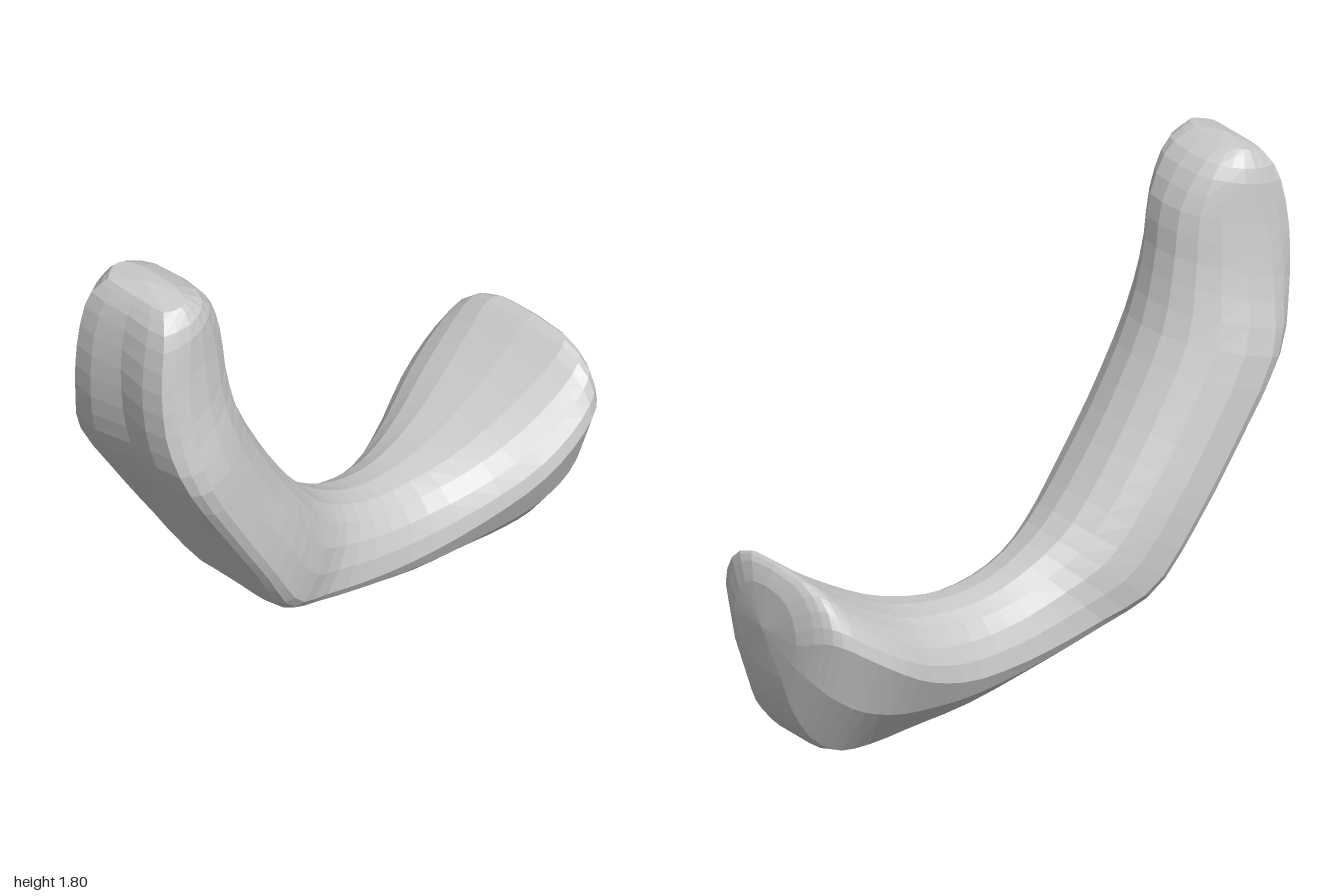
import * as THREE from 'three';

// Stations along the bend: outer x,y | inner x,y | half width | outer flat half width |
// height of widest line | roundness of inner side
const STATIONS = [
  [-0.915, 1.775, -0.80, 1.797, 0.160, 0.13, 0.50, 0.6],
  [-0.965, 1.69, -0.70, 1.74, 0.208, 0.18, 0.40, 0.65],
  [-0.998, 1.50, -0.615, 1.60, 0.225, 0.20, 0.30, 0.8],
  [-0.985, 1.28, -0.585, 1.40, 0.255, 0.22, 0.24, 0.9],
  [-0.92, 1.07, -0.53, 1.18, 0.300, 0.26, 0.18, 0.95],
  [-0.75, 0.79, -0.41, 0.94, 0.300, 0.26, 0.16, 0.95],
  [-0.59, 0.54, -0.28, 0.735, 0.290, 0.25, 0.15, 0.9],
  [-0.45, 0.32, -0.15, 0.57, 0.260, 0.20, 0.16, 0.85],
  [-0.28, 0.215, -0.02, 0.47, 0.212, 0.16, 0.20, 0.85],
  [-0.02, 0.125, 0.12, 0.41, 0.203, 0.14, 0.26, 0.85],
  [0.25, 0.05, 0.28, 0.395, 0.218, 0.13, 0.38, 0.85],
  [0.48, 0.02, 0.47, 0.425, 0.280, 0.13, 0.55, 0.8],
  [0.66, 0.003, 0.65, 0.505, 0.345, 0.14, 0.67, 0.75],
  [0.80, 0.018, 0.80, 0.595, 0.360, 0.15, 0.72, 0.65],
  [0.90, 0.09, 0.90, 0.67, 0.335, 0.14, 0.70, 0.55],
  [0.96, 0.20, 0.945, 0.68, 0.270, 0.12, 0.63, 0.6],
  [0.985, 0.32, 0.98, 0.62, 0.180, 0.09, 0.50, 0.75],
];
const RINGS = 40;

// Half a cross-section as [position from outer to inner, z]
function halfSection(w, flat, t, e, hollow) {
  const pts = [
    [hollow, 0], [0, flat * 0.6], [0.03, flat],
    [t * 0.5, flat + (w - flat) * 0.64], [t, w],
  ];
  for (let k = 1; k <= 5; k++) {
    const a = (k / 5) * Math.PI / 2;
    const c = k === 5 ? 0 : Math.cos(a) ** e;
    pts.push([t + (1 - t) * Math.sin(a), w * c]);
  }
  return pts;
}

// Skin over the interpolated sections, closed by a point at each end
function curvedBody(startTip, endTip) {
  const splines = STATIONS[0].map((_, c) =>
    new THREE.SplineCurve(STATIONS.map((s, i) => new THREE.Vector2(i, s[c]))));
  const pos = [], index = [];
  let sides = 0;
  for (let i = 0; i <= RINGS; i++) {
    const s = i / RINGS;
    const [ox, oy, ix, iy, w, flat, t, e] = splines.map(c => c.getPoint(s).y);
    // The back of the arm is slightly hollow, and the arm sits a little forward
    const hollow = 0.06 * Math.sin(Math.PI * Math.min(s / 0.45, 1));
    const shift = 0.012 * (1 - s);
    const half = halfSection(w, flat, t, e, hollow);
    const mirrored = half.slice(1, -1).reverse().map(([u, z]) => [u, -z]);
    const ring = [...half, ...mirrored];
    sides = ring.length;
    for (const [u, z] of ring) pos.push(ox + (ix - ox) * u, oy + (iy - oy) * u, z + shift);
  }
  const start = pos.length / 3, end = start + 1, last = RINGS * sides;
  pos.push(...startTip, ...endTip);
  for (let j = 0; j < sides; j++) {
    const k = (j + 1) % sides;
    for (let i = 0; i < RINGS; i++) {
      const a = i * sides + j, b = i * sides + k;
      index.push(a, a + sides, b, b, a + sides, b + sides);
    }
    index.push(start, j, k, end, last + k, last + j);
  }
  const geometry = new THREE.BufferGeometry();
  geometry.setAttribute('position', new THREE.Float32BufferAttribute(pos, 3));
  geometry.setIndex(index);
  geometry.computeVertexNormals();
  return geometry;
}

export function createModel() {
  const group = new THREE.Group();
  const material = new THREE.MeshStandardMaterial({ color: 0xcccccc, flatShading: true });
  // Bent body: upright arm, narrow waist and flared end
  const body = new THREE.Mesh(curvedBody([-0.855, 1.803, 0], [1, 0.48, 0]), material);
  body.name = 'curvedBody';
  group.add(body);
  return group;
}
